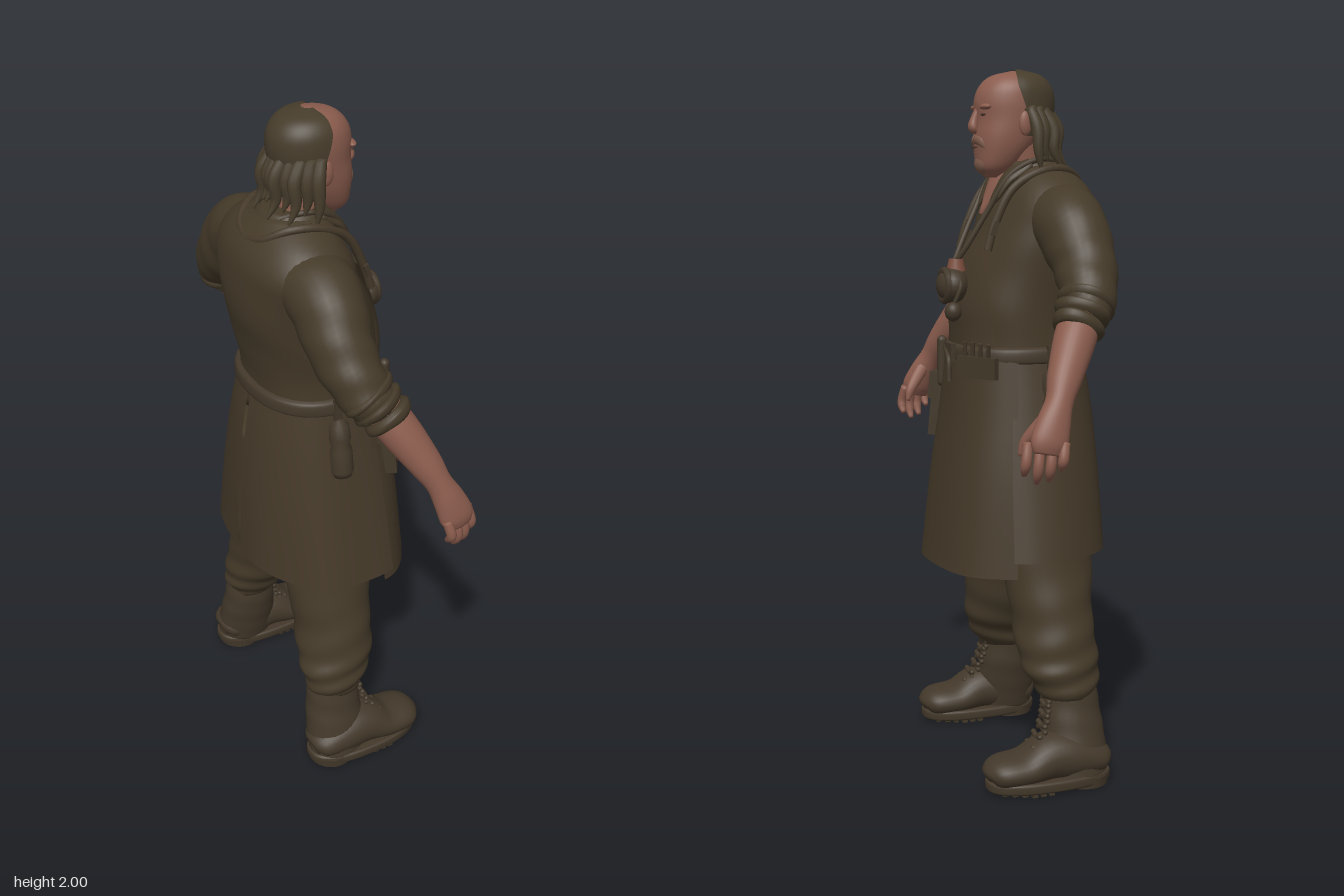
import * as THREE from 'three';

const makeMat = (name, color) => {
  const m = new THREE.MeshStandardMaterial({ color, side: THREE.DoubleSide });
  m.name = name;
  return m;
};
const V = (x, y, z) => new THREE.Vector3(x, y, z);
const TAU = Math.PI * 2;

// Smooth loft through rows of [x, y, z, halfA, halfB, roundness]; halfA lies along ref
function loft(rows, o = {}) {
  const { ref = V(1, 0, 0), flat = false, arc = null, fold = null, seg = 28, per = 5 } = o;
  const centre = new THREE.CatmullRomCurve3(rows.map(r => V(r[0], r[1], r[2])), false, 'catmullrom', 0.5);
  const size = new THREE.CatmullRomCurve3(rows.map(r => V(r[3], r[4], r[5] || 2)), false, 'catmullrom', 0.5);
  const n = (rows.length - 1) * per, cols = arc ? seg + 1 : seg;
  const pos = [], idx = [];
  for (let i = 0; i <= n; i++) {
    const s = i / n, c = centre.getPoint(s), d = size.getPoint(s);
    const [a0, a1] = typeof arc === 'function' ? arc(s) : arc || [0, TAU];
    const t = flat ? V(0, Math.sign(rows[rows.length - 1][1] - rows[0][1]), 0)
      : centre.getPoint(Math.min(1, s + 0.01)).sub(centre.getPoint(Math.max(0, s - 0.01))).normalize();
    const u = ref.clone().addScaledVector(t, -ref.dot(t)).normalize(), v = t.clone().cross(u);
    for (let j = 0; j < cols; j++) {
      const a = a0 + (a1 - a0) * j / seg, k = 1 + (fold ? fold(a, s) : 0);
      const e = w => Math.sign(w) * Math.abs(w) ** (2 / d.z);
      const p = c.clone().addScaledVector(u, d.x * k * e(Math.cos(a))).addScaledVector(v, d.y * k * e(Math.sin(a)));
      pos.push(p.x, p.y, p.z);
    }
  }
  for (let i = 0; i < n; i++) for (let j = 0; j < seg; j++) {
    const a = i * cols + j, b = i * cols + (j + 1) % cols;
    idx.push(a, b, b + cols, a, b + cols, a + cols);
  }
  if (!arc) for (const [row, end] of [[0, 0], [n, rows.length - 1]]) {
    const m = pos.length / 3;
    pos.push(...rows[end].slice(0, 3));
    for (let j = 0; j < seg; j++) {
      const a = row * cols + j, b = row * cols + (j + 1) % cols;
      idx.push(...(end ? [m, a, b] : [m, b, a]));
    }
  }
  const g = new THREE.BufferGeometry();
  g.setAttribute('position', new THREE.Float32BufferAttribute(pos, 3));
  g.setIndex(idx);
  g.computeVertexNormals();
  return g;
}

export function createModel() {
  const root = new THREE.Group();
  root.name = 'craftsman';
  const cloth = makeMat('olive cloth', 0x453a29), apron = makeMat('brown apron', 0x453929);
  const leather = makeMat('dark leather', 0x43382a), skin = makeMat('skin', 0x8a5c4d);
  const hair = makeMat('hair', 0x463c2b), beardMat = makeMat('grey beard', 0x7c5a4a);
  const copper = makeMat('copper', 0x7a4d3c), dark = makeMat('dark eye', 0x4a352b);
  const add = (name, mat, geo, p = [0, 0, 0], rot = [0, 0, 0], parent = root) => {
    const m = new THREE.Mesh(geo, mat);
    m.name = name;
    m.position.set(...p);
    m.rotation.set(...rot);
    parent.add(m);
    return m;
  };
  const ball = (name, mat, p, s) => add(name, mat, new THREE.SphereGeometry(1, 20, 14), p).scale.set(...s);
  const box = (name, mat, p, s, rot) => add(name, mat, new THREE.BoxGeometry(...s), p, rot);
  const cord = (name, mat, pts, r) => add(name, mat,
    new THREE.TubeGeometry(new THREE.CatmullRomCurve3(pts.map(p => V(...p))), 28, r, 8));

  // Shirt body and apron bib share one set of sections
  const body = [[-.015, 1.13, 0, .18, .212, 2.3], [-.017, 1.25, 0, .176, .204, 2.3], [-.027, 1.35, 0, .185, .21, 2.3],
    [-.05, 1.45, 0, .186, .22, 2.2], [-.074, 1.55, 0, .167, .238, 2.2], [-.084, 1.62, 0, .149, .24, 2.2],
    [-.083, 1.68, 0, .121, .195, 2.1], [-.068, 1.735, 0, .085, .1, 2]];
  add('shirt', cloth, loft(body, { flat: true, seg: 40, fold: (a, s) => .008 * Math.sin(3 * a + s * 22) }));
  const grown = body.slice(0, 5).map(r => [r[0], r[1], r[2], r[3] + .011, r[4] + .009, r[5]]);
  const bibArc = s => { const a = .95 - .5 * s ** 1.5; return [-a, a]; };
  add('apronBib', apron, loft(grown, { flat: true, arc: bibArc }));

  // Skirt: two back panels, longer front panel
  const pleat = (a, s) => s * .012 * Math.sin(7 * a);
  const back = [[-.01, 1.21, 0, .187, .212, 2.3], [-.01, 1.08, 0, .21, .236, 2.3], [-.005, .88, 0, .234, .276, 2.3], [0, .65, 0, .249, .322, 2.3]];
  for (const [a0, a1] of [[1.22, Math.PI - .02], [Math.PI + .02, TAU - 1.22]])
    add('skirtBack', apron, loft(back, { flat: true, arc: [a0, a1], fold: pleat }));
  add('skirtFront', apron, loft([[-.01, 1.21, 0, .188, .218, 2.4], [-.005, 1.05, 0, .2, .241, 2.4], [0, .85, 0, .222, .27, 2.4], [0, .6, 0, .249, .298, 2.4]],
    { flat: true, arc: [-1.3, 1.3], fold: pleat }));
  add('belt', leather, loft([[-.012, 1.188, 0, .186, .212, 2.3], [-.012, 1.195, 0, .196, .222, 2.3], [-.012, 1.225, 0, .194, .22, 2.3], [-.012, 1.235, 0, .18, .208, 2.3]], { flat: true, seg: 40 }));
  box('buckle', leather, [.186, 1.21, -.01], [.014, .05, .06]);
  cord('beltTie', leather, [[.184, 1.22, .04], [.194, 1.21, 0], [.198, 1.19, -.03], [.2, 1.13, -.04]], .007);

  // Neck, open shirt, collar
  add('neck', skin, loft([[-.06, 1.64, 0, .07, .07], [-.035, 1.72, 0, .065, .065], [-.01, 1.82, 0, .07, .07]], { flat: true }));
  add('openChest', skin, loft([[.015, 1.735, 0, .026, .05], [.043, 1.675, 0, .025, .038], [.083, 1.595, 0, .013, .005]], {}));
  add('collar', cloth, loft([[-.075, 1.65, 0, .135, .15], [-.065, 1.7, 0, .112, .122], [-.062, 1.745, 0, .085, .092], [-.062, 1.71, 0, .08, .086]],
    { flat: true, arc: [.6, TAU - .6] }));

  // Head with the face towards +x
  const skull = [[.05, 1.7, 0, .026, .028], [.046, 1.725, 0, .052, .056, 2.2], [.03, 1.765, 0, .074, .075, 2.2], [.012, 1.81, 0, .095, .086, 2.2],
    [-.003, 1.86, 0, .106, .091, 2.1], [-.005, 1.91, 0, .111, .092], [-.007, 1.95, 0, .099, .084], [-.008, 1.98, 0, .067, .058], [-.009, 1.995, 0, .01, .01]];
  add('head', skin, loft(skull, { flat: true, seg: 36 }));
  const scalp = skull.slice(3).map(r => [r[0] - .004, r[1] + .004, 0, r[3] + .008, r[4] + .008, 2]);
  const hairline = s => { const a = 1.8 - .42 * Math.min(1, s * 1.7) - .25 * Math.max(0, s - .6); return [a, TAU - a]; };
  add('hairCap', hair, loft(scalp, { flat: true, arc: hairline, fold: (a, s) => .008 * Math.sin(24 * a) * (1 - s) }));
  add('nose', skin, loft([[.098, 1.888, 0, .008, .01], [.108, 1.86, 0, .012, .012], [.112, 1.838, 0, .014, .017], [.1, 1.826, 0, .008, .013]], {}));
  ball('chinBeard', beardMat, [.076, 1.738, 0], [.03, .032, .044]);
  box('mouth', dark, [.108, 1.783, 0], [.006, .004, .04]);

  for (const s of [1, -1]) {
    // Face and hair details
    ball('brow', skin, [.088, 1.894, s * .038], [.015, .009, .03]);
    ball('eye', dark, [.094, 1.873, s * .036], [.006, .004, .012]);
    ball('ear', skin, [-.01, 1.848, s * .095], [.019, .034, .011]);
    add('moustache', beardMat, loft([[.104, 1.806, 0, .013, .009], [.096, 1.798, s * .03, .014, .01], [.078, 1.768, s * .052, .006, .005]], { ref: V(0, 1, 0) }));
    // Thin ragged locks: longer beside the ears, short at the nape
    for (let i = 0; i < 6; i++) {
      const a = 1.82 + i * .25, c = Math.cos(a), z = s * Math.sin(a), l = [.05, .02, .04, .015, .035, 0][i], out = [.014, .004, .018, .002, .014, .004][i];
      add('hairLock', hair, loft([[c * .1, 1.89, z * .09, .018, .018], [c * (.112 + out) - .01, 1.835, z * (.104 + out / 2), .019, .017],
        [c * (.108 + out) - .012, 1.795 - l / 2, z * (.104 + out), .014, .013], [c * (.12 + 2 * out) - .015, 1.765 - l, z * (.106 + out), .003, .003]], { seg: 10 }));
    }
    add('collarFlap', cloth, loft([[-.03, 1.74, s * .085, .012, .02], [.026, 1.703, s * .066, .014, .033], [.062, 1.65, s * .057, .01, .025], [.08, 1.62, s * .05, .004, .006]], {}));

    // Apron strap looping round the back of the neck
    cord('apronStrap', apron, [[.112, 1.5, s * .125], [.09, 1.57, s * .122], [.036, 1.67, s * .124], [-.05, 1.718, s * .128], [-.125, 1.722, s * .11],
      [-.18, 1.69, s * .065], [-.198, 1.67, 0]], .012);
    box('strapBuckle', leather, [.094, 1.56, s * .122], [.014, .04, .034], [0, 0, .35]);

    // Sleeve, rolled cuff and forearm
    add('sleeve', cloth, loft([[-.09, 1.6, s * .14, .105, .09], [-.09, 1.56, s * .235, .1, .105], [-.095, 1.465, s * .322, .087, .09],
      [-.075, 1.38, s * .4, .074, .07], [-.045, 1.33, s * .437, .06, .055]], { per: 8, fold: (a, q) => .05 * q * Math.sin(q * 34 + 2 * a) }));
    for (let i = 0; i < 3; i++) {
      const x = -.076 + i * .021, y = 1.385 - i * .028, z = .397 + i * .019, r = i * .004;
      add('rolledCuff', cloth, loft([[x, y, s * z, .06, .056], [x + .006, y - .01, s * (z + .006), .079 - r, .074 - r],
        [x + .013, y - .02, s * (z + .013), .077 - r, .072 - r], [x + .019, y - .03, s * (z + .019), .055, .05]],
        { per: 3, fold: a => .04 * Math.sin(3 * a + i * 2) }));
    }
    add('forearm', skin, loft([[-.055, 1.36, s * .415, .055, .052], [-.008, 1.28, s * .466, .056, .052], [.042, 1.19, s * .522, .046, .041],
      [.068, 1.135, s * .552, .037, .033], [.09, 1.085, s * .571, .045, .032], [.108, 1.035, s * .586, .05, .028], [.115, 1.005, s * .592, .037, .017]], {}));
    for (let i = 0; i < 4; i++) {
      const x = .07 + i * .029, l = [.05, .078, .085, .065][i], z = .604 - i * .012;
      add('finger', skin, loft([[x, 1.035, s * (z - .006), .013, .014], [x + .008, 1.02 - l * .4, s * (z + .006), .014, .014],
        [x + .01, 1.02 - l * .75, s * (z + .002), .013, .013], [x + .008, 1.016 - l, s * (z - .012), .007, .007]], { seg: 12 }));
    }
    add('thumb', skin, loft([[.09, 1.11, s * .56, .022, .02], [.125, 1.065, s * .54, .02, .018], [.15, 1.03, s * .524, .015, .014], [.162, .995, s * .518, .007, .007]], { seg: 12 }));

    // Trouser leg with folds gathered above the boot
    const folds = (a, q) => q * (.06 * q * Math.sin(q * 36 + 2 * Math.sin(a + s)) + .04 * Math.sin(2 * a + q * 11));
    add('trouserLeg', cloth, loft([[-.03, 1.0, s * .11, .16, .105], [-.04, .75, s * .15, .14, .11], [-.047, .6, s * .178, .134, .104], [-.05, .48, s * .203, .118, .108],
      [-.055, .38, s * .232, .113, .105], [-.065, .31, s * .257, .106, .088], [-.077, .25, s * .27, .084, .068]],
      { flat: true, per: 9, seg: 36, fold: folds }));

    // Boot: shaft, foot, sole, heel, laces
    const bz = s * .31;
    add('bootShaft', leather, loft([[-.085, .3, s * .266, .07, .062], [-.085, .2, s * .275, .084, .072], [-.086, .11, s * .295, .092, .076], [-.087, .03, bz, .09, .074]],
      { flat: true, per: 8, fold: (a, q) => .02 * Math.sin(q * 24 + a) * (1 - q) }));
    add('bootFoot', leather, loft([[-.176, .06, bz, .025, .035], [-.15, .07, bz, .045, .066], [-.07, .085, bz, .068, .076], [0, .088, bz, .068, .076], [.07, .066, bz, .05, .08],
      [.14, .06, bz, .045, .074], [.172, .053, bz, .032, .052], [.183, .046, bz, .008, .015]], { ref: V(0, 1, 0) }));
    add('bootSole', leather, loft([[0, .01, bz, .18, .08, 2.4], [0, .016, bz, .184, .083, 2.4], [0, .034, bz, .184, .083, 2.4], [0, .04, bz, .178, .077, 2.4]], { flat: true, seg: 36 }));
    add('bootHeel', leather, new THREE.CylinderGeometry(.073, .07, .03, 24), [-.108, .015, bz]);
    for (let i = 0; i < 6; i++) box('soleLug', leather, [.015 + i * .025, .008, bz], [.015, .016, .15 - .025 * Math.max(0, i - 2)]);
    for (let i = 0; i < 6; i++) {
      const x = [.052, .03, .012, .002, -.004, -.008][i], y = [.118, .142, .168, .195, .222, .248][i], z = s * (.306 - i * .007);
      for (const d of [1, -1]) add('bootLace', leather, new THREE.CapsuleGeometry(.008, .055, 4, 8), [x, y, z], [Math.PI / 2 + d * .3, 0, 0]);
    }

    // Flask holder hanging on each hip
    add('hipFlask', leather, new THREE.LatheGeometry([[0, -.1], [.026, -.097], [.033, -.08], [.032, -.015], [.026, 0], [.031, .02], [.028, .06], [.014, .075], [0, .08]]
      .map(p => new THREE.Vector2(...p)), 18), [-.042, 1.1, s * .232], [s * -.15, 0, 0]);
    box('flaskLoop', leather, [-.042, 1.2, s * .219], [.025, .08, .012]);
    // Neck cord
    cord('neckCord', leather, [[-.13, 1.735, s * .06], [-.06, 1.752, s * .095], [.026, 1.71, s * .083], [.096, 1.6, s * .055 - .01], [.155, 1.5, s * .025 - .025], [.183, 1.455, -.03]], .008);
  }

  // Hanging jar and charm
  ball('pendantJar', leather, [.186, 1.4, -.032], [.045, .05, .058]);
  add('jarRim', leather, new THREE.TorusGeometry(.042, .011, 8, 24), [.208, 1.4, -.032], [0, Math.PI / 2, 0]);
  add('jarCap', copper, new THREE.CylinderGeometry(.02, .028, .034, 16), [.174, 1.457, -.03]);
  ball('smallCharm', leather, [.2, 1.33, -.083], [.024, .027, .024]);
  cord('charmCord', leather, [[.18, 1.45, -.04], [.18, 1.4, -.088], [.2, 1.345, -.084]], .006);

  // Front pouch with flap, hanging tool, pocket with brushes
  const pouch = new THREE.Group();
  pouch.name = 'pouch';
  pouch.position.set(.142, 1.05, .178);
  pouch.rotation.y = -.6;
  root.add(pouch);
  add('pouchBag', leather, new THREE.BoxGeometry(.05, .17, .125), [.004, -.02, 0], [0, 0, .1], pouch);
  add('pouchFlap', leather, new THREE.BoxGeometry(.056, .08, .145), [.002, .045, 0], [0, 0, .1], pouch);
  add('pouchButton', leather, new THREE.SphereGeometry(.011, 12, 8), [.034, .015, 0], [0, 0, 0], pouch);
  add('pouchLoop', leather, new THREE.BoxGeometry(.014, .08, .025), [.004, .115, .03], [0, 0, 0], pouch);
  add('hangingTool', leather, new THREE.CapsuleGeometry(.015, .12, 6, 12), [.173, 1.17, .11]);
  box('brushPocket', leather, [.157, 1.18, -.165], [.02, .06, .13], [0, .6, 0]);
  for (let i = 0; i < 4; i++)
    add('brush', leather, new THREE.CylinderGeometry(.006, .008, .1, 8), [.178 - i * .014, 1.2, -.12 - i * .024], [-.12 - i * .06, 0, -.05]);
  return root;
}
